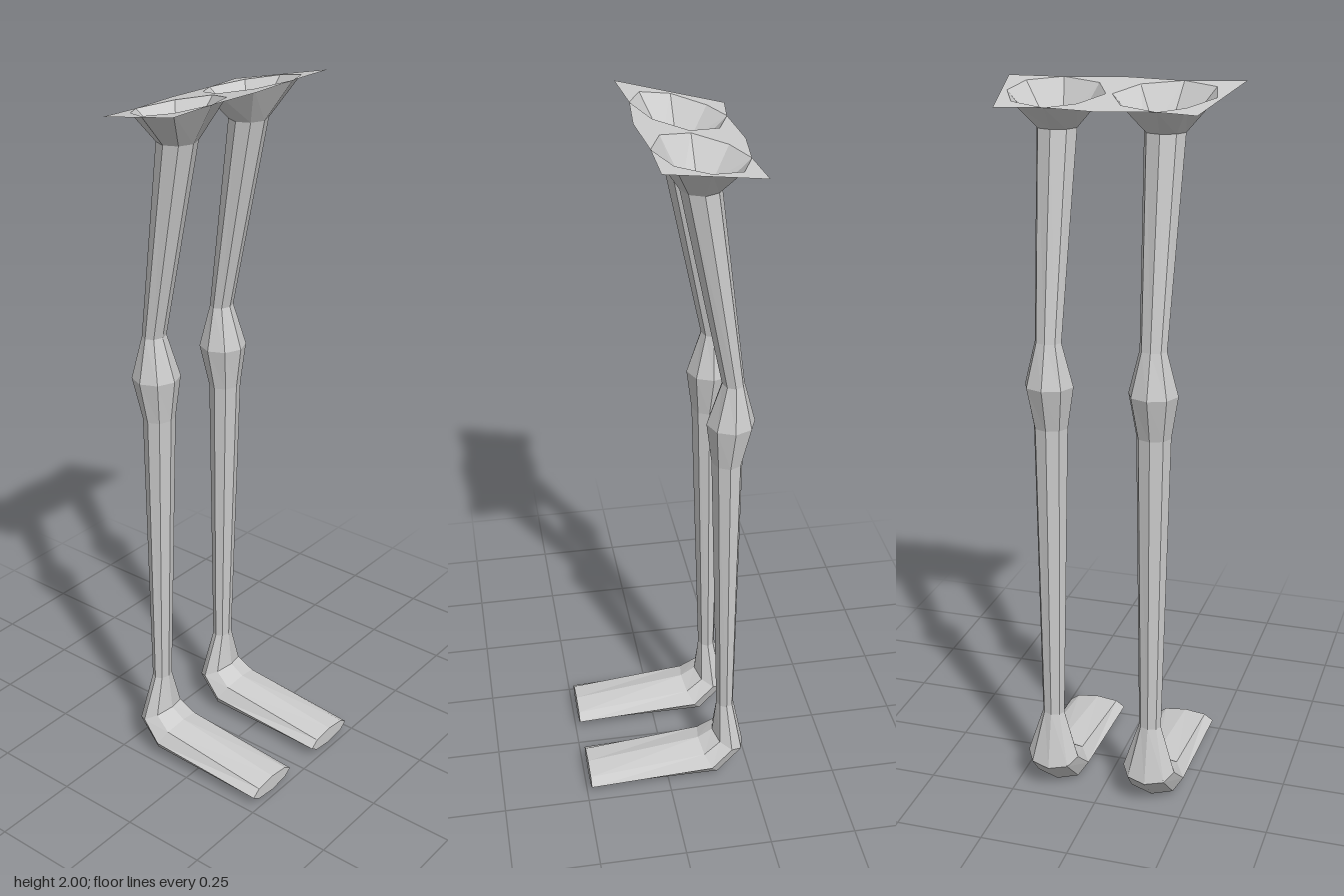
import * as THREE from 'three';

const SIDES = 8;
const LEG_X = 0.1435;
const material = new THREE.MeshStandardMaterial({
  color: 0xcccccc, flatShading: true, side: THREE.DoubleSide,
});

// Height of the tilted top sheet at depth z
const sheetY = (z) => 1.988 + 0.193 * z;

// Socket rims as [x, z], starting at the front and running towards +x
const rightRim = [[-0.16, 0.045], [-0.055, 0.005], [-0.005, -0.08], [-0.052, -0.165],
  [-0.155, -0.205], [-0.22, -0.165], [-0.275, -0.08], [-0.255, 0.005]];
const leftRim = [[0.165, 0.045], [0.255, 0.005], [0.277, -0.08], [0.235, -0.165],
  [0.135, -0.205], [0.06, -0.165], [0.012, -0.08], [0.055, 0.005]];

// Eight-sided ring spanning x0..x1, between a front and a back point given as [y, z]
function ring(x0, x1, front, back) {
  return Array.from({ length: SIDES }, (_, i) => {
    const a = (i / SIDES) * Math.PI * 2;
    const t = (1 - Math.cos(a)) / 2;
    return new THREE.Vector3(
      (x0 + x1) / 2 + ((x1 - x0) / 2) * Math.sin(a),
      front[0] + (back[0] - front[0]) * t,
      front[1] + (back[1] - front[1]) * t);
  });
}

// Skin a list of rings, optionally closing the last one
function loft(name, rings, capEnd = false) {
  const points = [];
  for (let r = 0; r < rings.length - 1; r++) {
    for (let i = 0; i < SIDES; i++) {
      const j = (i + 1) % SIDES;
      const [a, b, c, d] = [rings[r][i], rings[r][j], rings[r + 1][i], rings[r + 1][j]];
      points.push(a, c, d, a, d, b);
    }
  }
  if (capEnd) {
    const end = rings[rings.length - 1];
    for (let i = 1; i < SIDES - 1; i++) points.push(end[0], end[i + 1], end[i]);
  }
  const geometry = new THREE.BufferGeometry().setFromPoints(points);
  geometry.computeVertexNormals();
  const mesh = new THREE.Mesh(geometry, material);
  mesh.name = name;
  return mesh;
}

// One leg: open hip socket, thigh, knee, shin and foot
function makeLeg(name, centreX, rim) {
  const leg = new THREE.Group();
  leg.name = name;
  const at = (x0, x1, front, back) => ring(centreX + x0, centreX + x1, front, back);
  const top = rim.map(([x, z]) => new THREE.Vector3(x, sheetY(z), z));
  const hip = at(-0.055, 0.055, [1.885, -0.028], [1.885, -0.133]);
  const kneeTop = at(-0.037, 0.037, [1.34, -0.145], [1.34, -0.205]);
  const knee = at(-0.068, 0.068, [1.22, -0.106], [1.22, -0.237]);
  const kneeBase = at(-0.048, 0.048, [1.1, -0.122], [1.1, -0.207]);
  const ankle = at(-0.032, 0.032, [0.24, -0.154], [0.24, -0.205]);
  const heel = at(-0.075, 0.075, [0.13, -0.143], [0.08, -0.237]);
  const instep = at(-0.087, 0.088, [0.103, -0.1], [0, -0.158]);
  const toe = at(-0.087, 0.088, [0.058, 0.238], [0.008, 0.238]);
  leg.add(
    loft('hipSocket', [top, hip]),
    loft('thigh', [hip, kneeTop]),
    loft('knee', [kneeTop, knee, kneeBase]),
    loft('shin', [kneeBase, ankle]),
    loft('foot', [ankle, heel, instep, toe], true));
  return leg;
}

// Flat piece of the tilted sheet from an [x, z] outline
function sheetPiece(name, outline) {
  const shape = new THREE.Shape(outline.map(([x, z]) => new THREE.Vector2(x, -z)));
  const geometry = new THREE.ShapeGeometry(shape).rotateX(-Math.PI / 2);
  const position = geometry.attributes.position;
  for (let i = 0; i < position.count; i++) position.setY(i, sheetY(position.getZ(i)));
  geometry.computeVertexNormals();
  const mesh = new THREE.Mesh(geometry, material);
  mesh.name = name;
  return mesh;
}

export function createModel() {
  const model = new THREE.Group();
  model.name = 'legs';
  model.add(makeLeg('rightLeg', -LEG_X, rightRim), makeLeg('leftLeg', LEG_X, leftRim));

  // Top sheet, split where the sockets reach its front and back edges
  const sheet = new THREE.Group();
  sheet.name = 'topSheet';
  sheet.add(
    sheetPiece('sheetCentre', [[0, 0.06], leftRim[0], ...leftRim.slice(4).reverse(),
      [0, -0.22], ...rightRim.slice(0, 5).reverse()]),
    sheetPiece('sheetRight', [rightRim[0], ...rightRim.slice(4).reverse(),
      [-0.26, -0.22], [-0.32, 0.06]]),
    sheetPiece('sheetLeft', [...leftRim.slice(0, 5), [0.263, -0.22], [0.318, 0.045]]));
  model.add(sheet);
  return model;
}
